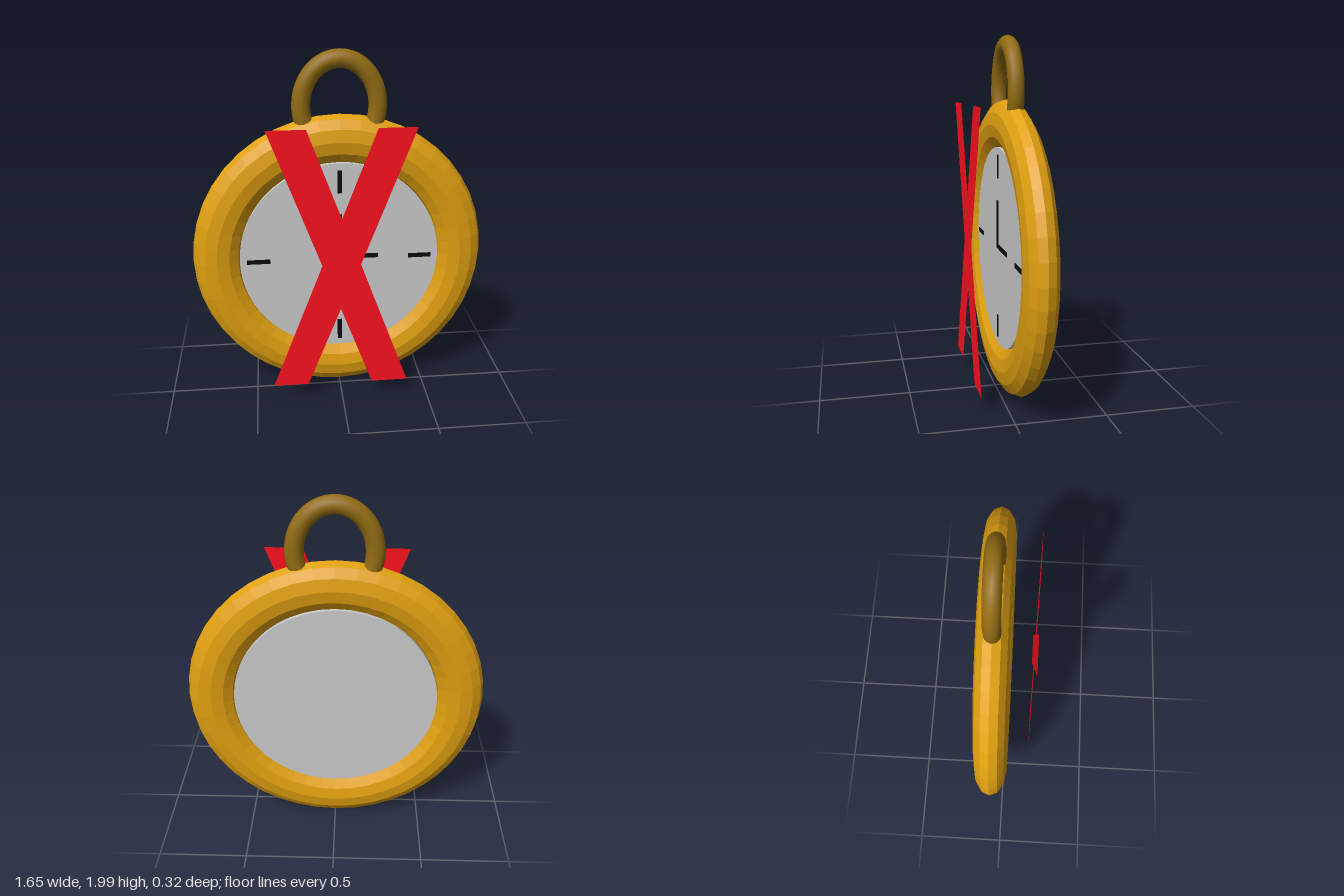
import * as THREE from 'three';

const CY = 0.832; // centre height of the watch case
const CZ = -0.067; // mid-plane of the watch case

function mat(color, opts = {}) {
  return new THREE.MeshStandardMaterial({ color, ...opts });
}

function add(parent, name, geometry, material, x = 0, y = 0, z = 0) {
  const mesh = new THREE.Mesh(geometry, material);
  mesh.name = name;
  mesh.position.set(x, y, z);
  parent.add(mesh);
  return mesh;
}

export function createModel() {
  const model = new THREE.Group();
  model.name = 'crossedOutPocketWatch';

  const gold = mat(0xe0a010, { flatShading: true });
  const bronze = mat(0x926c12);
  const grey = mat(0xcccccc);
  const black = mat(0x0a0a0a);
  const red = mat(0xfc111f, { side: THREE.DoubleSide });

  // Watch body, turned very slightly about the vertical
  const watch = new THREE.Group();
  watch.name = 'watch';
  watch.position.set(0, CY, CZ);
  watch.rotation.y = 0.008;
  model.add(watch);

  // Case: ring with a flattened twelve-sided section
  const ring = new THREE.TorusGeometry(0.69, 0.135, 12, 44);
  ring.scale(1, 1, 0.65);
  add(watch, 'caseRing', ring, gold);

  // Dial and back plate as one disc
  const disc = new THREE.CylinderGeometry(0.565, 0.565, 0.1, 64);
  disc.rotateX(Math.PI / 2);
  add(watch, 'dial', disc, grey);

  // Plain hour marks at the quarters
  for (let i = 0; i < 4; i++) {
    const a = (i * Math.PI) / 2;
    const mark = add(watch, 'hourMark', new THREE.BoxGeometry(0.025, 0.13, 0.006), black,
      Math.sin(a) * 0.46, Math.cos(a) * 0.46, 0.051);
    mark.rotation.z = -a;
  }

  // Hands
  add(watch, 'hourHand', new THREE.BoxGeometry(0.22, 0.025, 0.006), black, 0.11, 0.012, 0.054);
  add(watch, 'minuteHand', new THREE.BoxGeometry(0.025, 0.27, 0.006), black, 0, 0.135, 0.054);

  // Hanging loop: an elliptical arch whose feet sink into the case
  const arch = [];
  for (let i = 0; i <= 16; i++) {
    const a = THREE.MathUtils.lerp(-0.5, Math.PI + 0.5, i / 16);
    arch.push(new THREE.Vector3(0.205 * Math.cos(a), 1.7 + 0.248 * Math.sin(a), CZ + 0.002));
  }
  const loop = new THREE.TubeGeometry(new THREE.CatmullRomCurve3(arch), 48, 0.05, 12);
  loop.translate(0, 0, -CZ).scale(1, 1, 0.9).translate(0, 0, CZ);
  add(model, 'hangingLoop', loop, bronze, 0.003);

  // Flat red cross floating in front of the dial
  const outline = [
    [-0.395, 1.632], [-0.188, 1.632], [-0.005, 1.14], [0.182, 1.632], [0.388, 1.632], [0.1, 0.87],
    [0.38, 0.108], [0.172, 0.108], [-0.01, 0.6], [-0.2, 0.112], [-0.4, 0.112], [-0.112, 0.87],
  ].map(([x, y]) => new THREE.Vector2(x, y));
  add(model, 'redCross', new THREE.ShapeGeometry(new THREE.Shape(outline)), red, 0, 0, 0.155);

  return model;
}
